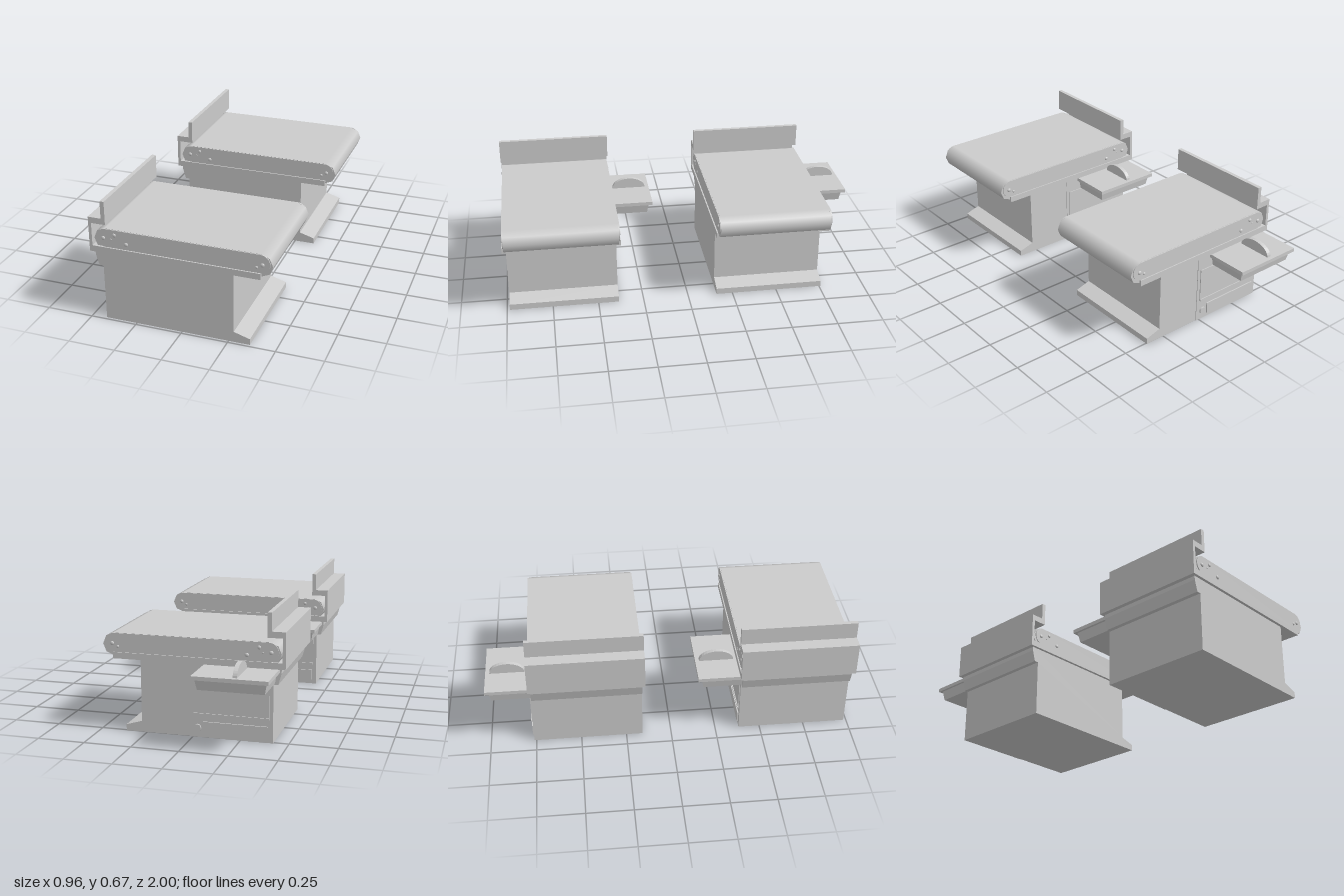
import * as THREE from 'three';

const material = new THREE.MeshStandardMaterial({ color: 0xcccccc });

function add(group, name, geometry, x = 0, y = 0, z = 0) {
  const mesh = new THREE.Mesh(geometry, material);
  mesh.name = name;
  mesh.position.set(x, y, z);
  group.add(mesh);
  return mesh;
}

// Box given by its limits on each axis
function block(group, name, [x0, x1], [y0, y1], [z0, z1]) {
  return add(group, name, new THREE.BoxGeometry(x1 - x0, y1 - y0, z1 - z0),
    (x0 + x1) / 2, (y0 + y1) / 2, (z0 + z1) / 2);
}

// Side profile in x and y, extruded from z0 to z1
function extrude(shape, z0, z1) {
  return new THREE.ExtrudeGeometry(shape, { depth: z1 - z0, bevelEnabled: false, curveSegments: 8 })
    .translate(0, 0, z0);
}
const outline = (points) => new THREE.Shape(points.map(([x, y]) => new THREE.Vector2(x, y)));

function createConveyor() {
  const unit = new THREE.Group();
  unit.name = 'conveyorUnit';

  // Cabinet with a sloping foot and a lip under the frame
  add(unit, 'cabinet', extrude(outline([
    [-0.42, 0], [0.363, 0], [0.363, 0.033], [0.278, 0.058], [0.278, 0.387],
    [-0.46, 0.387], [-0.46, 0.365], [-0.443, 0.305], [-0.42, 0.305],
  ]), 0.387, 0.985));

  // Bent sheet frame with the upright guard
  add(unit, 'frame', extrude(outline([
    [-0.483, 0.387], [0.422, 0.387], [0.422, 0.42], [-0.467, 0.42], [-0.467, 0.545],
    [-0.39, 0.545], [-0.39, 0.672], [-0.412, 0.672], [-0.412, 0.577], [-0.483, 0.577],
  ]), 0.373, 1));

  // Belt around two octagonal rollers
  block(unit, 'belt', [-0.4, 0.42], [0.4, 0.52], [0.385, 0.988]);
  for (const x of [-0.4, 0.42]) {
    const roller = new THREE.CylinderGeometry(0.06, 0.06, 0.603, 8).rotateX(Math.PI / 2);
    add(unit, 'roller', roller, x, 0.46, 0.6865);
  }

  // Rounded side plates and their bolts
  const plate = new THREE.Shape();
  plate.absarc(0.417, 0.469, 0.05, -Math.PI / 2, Math.PI / 2, false);
  plate.absarc(-0.397, 0.469, 0.05, Math.PI / 2, Math.PI * 1.5, false);
  const bolts = [
    [-0.408, 0.468, 0.011], [-0.347, 0.492, 0.01], [-0.366, 0.466, 0.005],
    [-0.284, 0.45, 0.011], [0.398, 0.449, 0.008], [0.428, 0.465, 0.011],
  ];
  for (const [z0, z1, face] of [[0.985, 0.993, 0.993], [0.379, 0.388, 0.379]]) {
    add(unit, 'sidePlate', extrude(plate, z0, z1));
    for (const [x, y, r] of bolts) {
      add(unit, 'bolt', new THREE.SphereGeometry(r, 12, 8), x, y, face).scale.z = 0.6;
    }
  }

  // Back panel with door, drawer and knob
  block(unit, 'backPanel', [-0.42, 0.018], [0, 0.387], [0.383, 0.39]);
  block(unit, 'door', [-0.4, 0.0], [0.13, 0.31], [0.378, 0.385]);
  block(unit, 'doorLedge', [-0.4, 0.0], [0.12, 0.13], [0.373, 0.385]);
  block(unit, 'drawer', [-0.395, -0.055], [0.022, 0.085], [0.376, 0.385]);
  add(unit, 'knob', new THREE.CylinderGeometry(0.02, 0.02, 0.012, 16).rotateX(Math.PI / 2),
    -0.025, 0.05, 0.38);

  // Shelf on a tapered bracket
  block(unit, 'shelf', [-0.45, -0.063], [0.367, 0.387], [0.145, 0.387]);
  const bracket = new THREE.BoxGeometry(0.36, 0.055, 0.222);
  const p = bracket.attributes.position;
  for (let i = 0; i < p.count; i++) {
    if (p.getY(i) > 0) continue;
    p.setX(i, p.getX(i) * 0.94);
    if (p.getZ(i) < 0) p.setZ(i, p.getZ(i) + 0.01);
  }
  bracket.computeVertexNormals();
  add(unit, 'shelfBracket', bracket, -0.257, 0.3395, 0.276);

  // Half-disc fin standing on the shelf
  const fin = new THREE.Shape();
  fin.absellipse(0, 0, 0.095, 0.06, 0, Math.PI, false, 0);
  add(unit, 'fin', extrude(fin, -0.011, 0.011).rotateY(Math.PI / 2), -0.28, 0.386, 0.262);
  return unit;
}

export function createModel() {
  const model = new THREE.Group();
  model.name = 'conveyorPair';
  for (const z of [0, -1.145]) {
    const unit = createConveyor();
    unit.position.z = z;
    model.add(unit);
  }
  return model;
}
